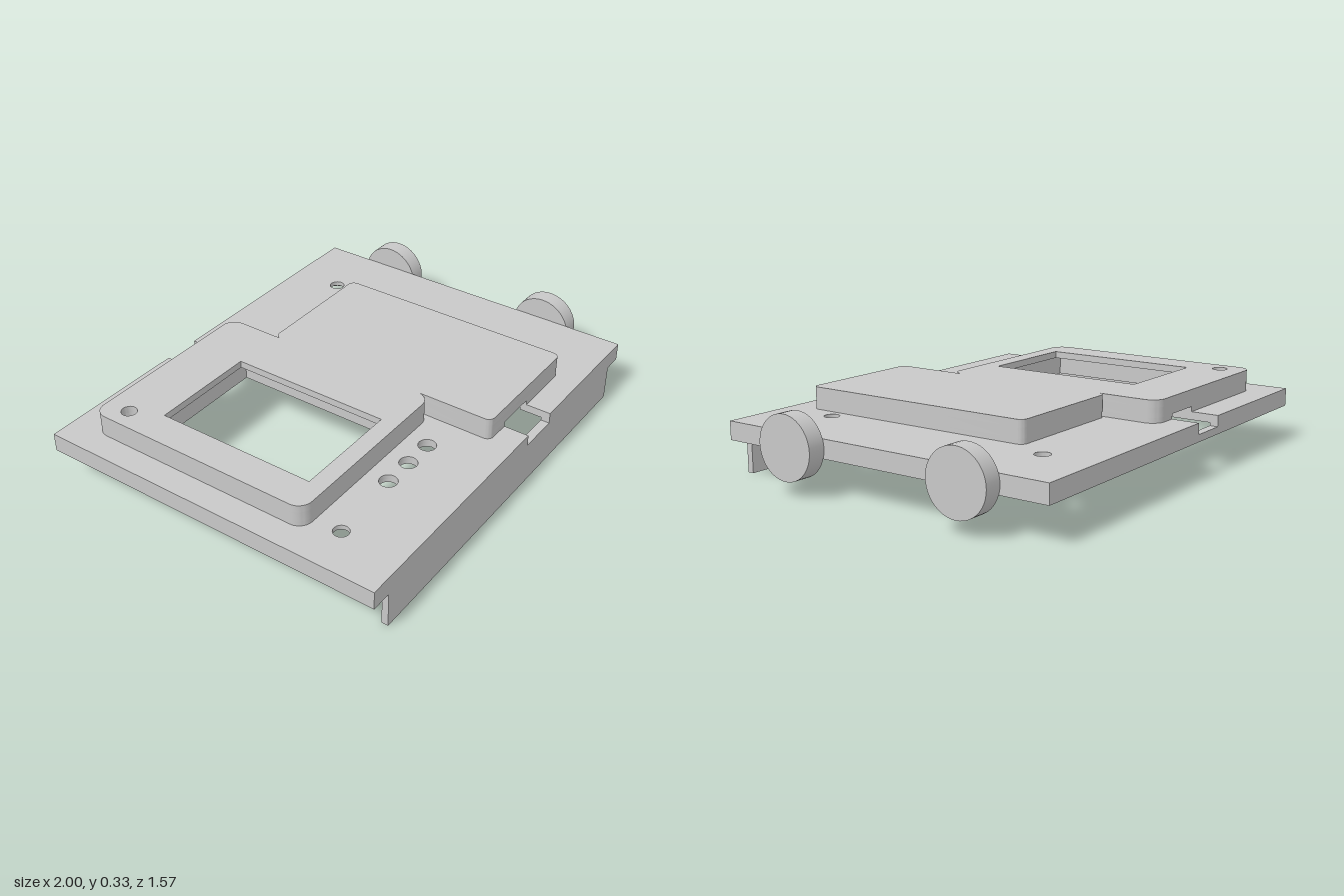
import * as THREE from 'three';
import { toCreasedNormals } from 'three/addons/utils/BufferGeometryUtils.js';

// Path through [x, z, cornerRadius] points, rounded where a radius is given
function trace(path, pts) {
  const n = pts.length;
  const toward = (a, b, d) => {
    const len = Math.hypot(b[0] - a[0], b[1] - a[1]);
    return [a[0] + (b[0] - a[0]) * d / len, a[1] + (b[1] - a[1]) * d / len];
  };
  pts.forEach((p, i) => {
    const r = p[2] || 0;
    const a = r ? toward(p, pts[(i + n - 1) % n], r) : p;
    if (i === 0) path.moveTo(a[0], -a[1]);
    else path.lineTo(a[0], -a[1]);
    if (r) {
      const b = toward(p, pts[(i + 1) % n], r);
      const k = 0.55; // handle length of a quarter circle
      path.bezierCurveTo(
        a[0] + (p[0] - a[0]) * k, -(a[1] + (p[1] - a[1]) * k),
        b[0] + (p[0] - b[0]) * k, -(b[1] + (p[1] - b[1]) * k),
        b[0], -b[1]);
    }
  });
  path.closePath();
  return path;
}

const rect = (x0, x1, z0, z1, r = 0) => [[x0, z0, r], [x1, z0, r], [x1, z1, r], [x0, z1, r]];
const hole = (pts) => trace(new THREE.Path(), pts);
const round = (x, z, r) => new THREE.Path().absarc(x, -z, r, 0, Math.PI * 2, true);

export function createModel() {
  const group = new THREE.Group();
  const grey = new THREE.MeshStandardMaterial({ color: 0xc8c8c8 });
  grey.name = 'plain grey';

  const add = (name, geometry) => {
    const mesh = new THREE.Mesh(geometry, grey);
    mesh.name = name;
    group.add(mesh);
    return mesh;
  };
  // Horizontal slab between two heights; the outline runs counter-clockwise so hole walls face inward
  const slab = (name, outline, holes, y0, y1) => {
    const pts = trace(new THREE.Path(), outline).getPoints(10);
    if (THREE.ShapeUtils.isClockWise(pts)) pts.reverse();
    const shape = new THREE.Shape(pts);
    shape.holes = holes;
    const g = new THREE.ExtrudeGeometry(shape, { depth: y1 - y0, bevelEnabled: false, curveSegments: 10 });
    g.rotateX(-Math.PI / 2).translate(0, y0, 0);
    add(name, toCreasedNormals(g, 0.6));
  };
  const box = (name, x0, x1, y0, y1, z0, z1) =>
    add(name, new THREE.BoxGeometry(x1 - x0, y1 - y0, z1 - z0))
      .position.set((x0 + x1) / 2, (y0 + y1) / 2, (z0 + z1) / 2);

  const L = -1, R = 0.922, Z = 0.783, TOP = 0.331, PORT_TOP = 0.257;
  const rimBack = -0.747, rimFront = 0.744;
  // Port slots: front one opens into the battery cavity, back one is a short pocket
  const frontPort = [0.093, 0.277], backPort = [-0.317, -0.149];
  const cav = { x0: 0.0, x1: 0.53, z0: -0.388, z1: 0.645 };
  const frontCut = (edge) => [
    [frontPort[1], edge], [frontPort[1], cav.z1], [cav.x1, cav.z1, 0.03], [cav.x1, cav.z0],
    [cav.x0, cav.z0], [cav.x0, cav.z1, 0.03], [frontPort[0], cav.z1], [frontPort[0], edge]];
  const backCut = (edge) => [
    [backPort[0], edge], [backPort[0], -0.5], [backPort[1], -0.5], [backPort[1], edge]];

  // Rim under the plate; its upper layer is split in two by the port notches
  slab('lowerRim', rect(L, R, -Z, Z),
    [hole(rect(L + 0.03, R - 0.03, rimBack, rimFront))], 0.155, 0.187);
  [[L, L + 0.03, 0], [R, R - 0.03, 1]].forEach(([outer, inner, i]) => {
    slab('upperRim', [
      [frontPort[i], Z], [outer, Z], [outer, -Z], [backPort[i], -Z],
      [backPort[i], rimBack], [inner, rimBack], [inner, rimFront], [frontPort[i], rimFront],
    ], [], 0.187, 0.2);
  });

  // Main plate, with wider screw recesses on its underside
  const plate = [[L, -Z], ...backCut(-Z), [R, -Z], [R, Z], ...frontCut(Z), [L, Z]];
  const screws = [[-0.8, -0.545], [0.623, -0.55], [-0.808, 0.505], [0.617, 0.509]];
  const buttons = [-0.47, -0.331, -0.194];
  const screenCavity = () => hole(rect(-0.855, -0.2, -0.44, 0.36));
  const plateHoles = (r) => [
    ...screws.map(([x, z]) => round(x, z, r)),
    ...buttons.map((x) => round(x, 0.484, 0.038)),
    screenCavity()];
  slab('plateUnderside', plate, plateHoles(0.055), 0.2, 0.215);
  slab('plate', plate, plateHoles(0.033), 0.215, 0.235);

  // Raised screen housing
  const screenBox = rect(-0.885, -0.025, -0.66, 0.388, 0.06);
  const screenNotched = [screenBox[0], ...backCut(-0.66), ...screenBox.slice(1)];
  const screw = () => round(...screws[0], 0.033);
  slab('screenHousingBase', screenNotched, [screw(), screenCavity()], 0.235, PORT_TOP);
  slab('screenHousingWall', screenBox, [screw(), screenCavity()], PORT_TOP, 0.3);
  slab('screenHousingTop', screenBox,
    [screw(), hole(rect(-0.74, -0.265, -0.41, 0.31))], 0.3, TOP);

  // Raised battery housing
  const batteryBox = rect(-0.025, 0.558, -0.415, 0.672, 0.03);
  slab('batteryHousingBase',
    [...batteryBox.slice(0, 3), ...frontCut(0.672), batteryBox[3]], [], 0.235, PORT_TOP);
  slab('batteryHousingWall', batteryBox,
    [hole(rect(cav.x0, cav.x1, cav.z0, cav.z1))], PORT_TOP, 0.3);
  slab('batteryHousingTop', batteryBox, [], 0.3, TOP);
  box('portBlock', frontPort[0], frontPort[1], PORT_TOP, 0.3, 0.14, cav.z1);

  // Front flange
  box('frontFlange', -0.91, 0.837, 0, 0.155, 0.755, Z);

  // Side knobs
  for (const z of [0.393, -0.443]) {
    const knob = add('knob', new THREE.CylinderGeometry(0.135, 0.135, 1 - R, 48));
    knob.rotation.z = Math.PI / 2;
    knob.position.set((1 + R) / 2, 0.195, z);
  }
  return group;
}
